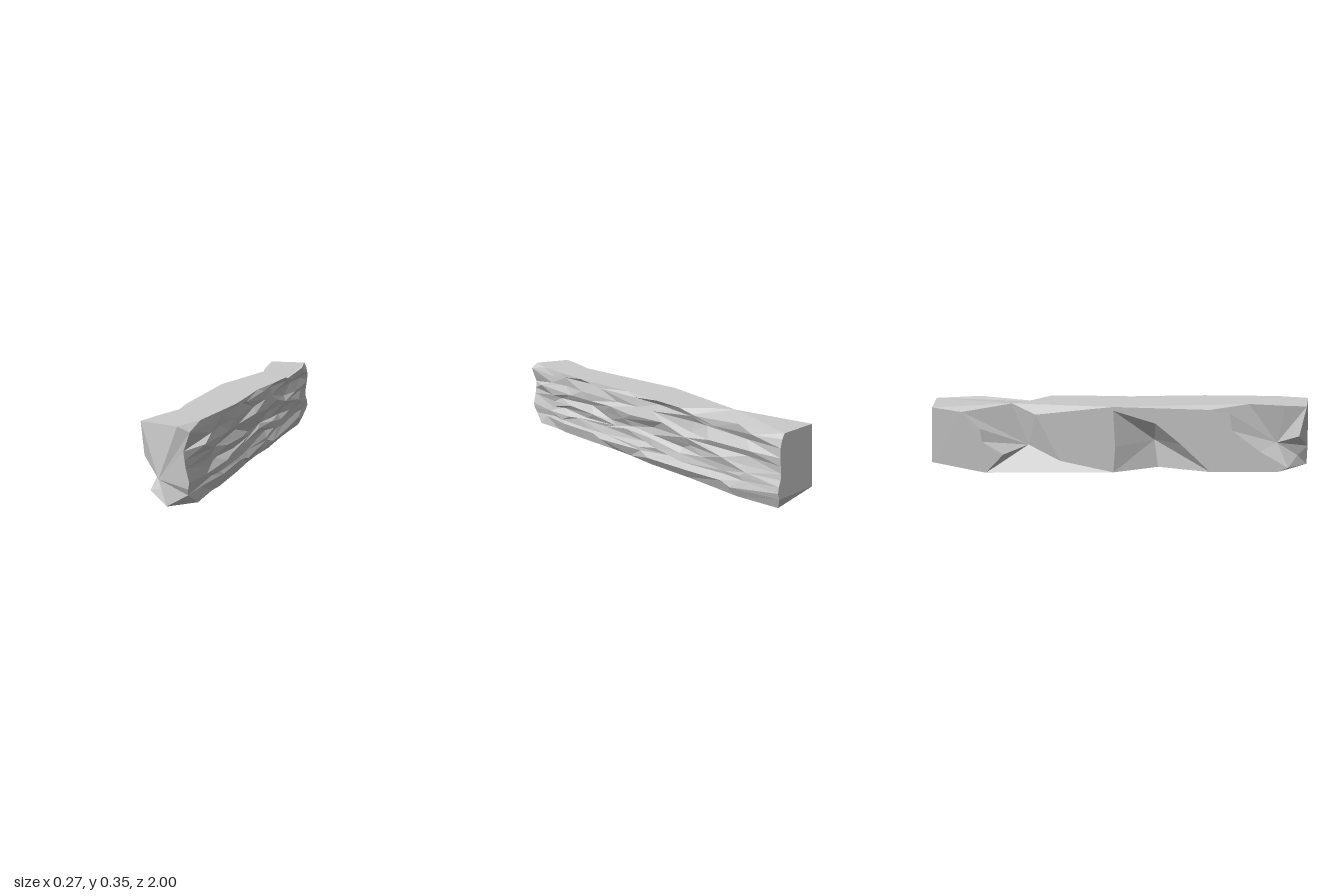
import * as THREE from 'three';

const L = -0.137, TOP = 0.355;
const hash = (a, b) => {
  const s = Math.sin(a * 127.1 + b * 311.7) * 43758.5453;
  return s - Math.floor(s);
};

// Split face: staggered ridges and grooves, station i runs from front to back, row j from bottom to top
const ROWS = [0, 0.05, 0.08, 0.11, 0.14, 0.17, 0.205, 0.245, 0.29, 0.33, TOP];
const N = 10, M = ROWS.length - 1, STEP = 8;
const FRONT_X = [0.105, 0.088, 0.095, 0.1, 0.093, 0.085, 0.08, 0.075, 0.092, 0.105, 0.055];
const BACK_X = [0.072, 0.09, 0.1, 0.097, 0.087, 0.085, 0.09, 0.096, 0.097, 0.088, 0.075];
const TOP_X = [0, 0.1, 0.112, 0.122, 0.113, 0.1, 0.12, 0.128, 0.105, 0.12, 0];
const TOP_Z = [0, 0.85, 0.65, 0.45, 0.25, 0.05, -0.2, -0.38, -0.43, -0.77, 0];
function rough(i, j) {
  if (i === 0) return [FRONT_X[j], ROWS[j], [0.9, 0.97][j] ?? (j === M ? 1 : 0.985)];
  if (i === N) return [BACK_X[j], ROWS[j], j === 0 ? -0.98 : -1];
  if (j === M) return [TOP_X[i], i === STEP ? 0.325 : TOP, TOP_Z[i]];
  const z = 1 - 2 * i / N + (hash(i + 9, j) - 0.5) * 0.17;
  if (j === 0) return [0.092 + 0.02 * hash(i, 3), 0, z];
  const ridge = j % 2 ? 0.01 : 0;
  const drop = i === STEP && j === M - 1 ? 0.015 : 0;
  return [0.086 + ridge + 0.036 * hash(i, j),
    ROWS[j] - drop + (hash(i, j + 20) - 0.5) * 0.022, z];
}
const range = (from, to, f) => Array.from({ length: to - from + 1 }, (_, i) => f(from + i));

// Flat region filled from its outline; u and v are the axes it lies in, dir the outward sign
function flat(points, u, v, dir) {
  const contour = points.map(p => new THREE.Vector2(p[u], p[v]));
  if (THREE.ShapeUtils.isClockWise(contour)) {
    contour.reverse();
    points = [...points].reverse();
  }
  const cross = (a, b, c) =>
    (b[u] - a[u]) * (c[v] - a[v]) - (b[v] - a[v]) * (c[u] - a[u]);
  return THREE.ShapeUtils.triangulateShape(contour, []).flatMap(t => {
    const [a, b, c] = t.map(k => points[k]);
    return cross(a, b, c) * dir > 0 ? [a, b, c] : [a, c, b];
  });
}

// Facets from one hub to a run of points
const fan = (hub, pts) => pts.slice(1).flatMap((p, i) => [hub, p, pts[i]]);

export function createModel() {
  const group = new THREE.Group();
  group.name = 'stoneBeam';
  const material = new THREE.MeshStandardMaterial({
    color: 0xcccccc, flatShading: true, side: THREE.DoubleSide,
  });
  const add = (name, corners) => {
    const g = new THREE.BufferGeometry();
    g.setAttribute('position', new THREE.Float32BufferAttribute(corners.flat(), 3));
    g.computeVertexNormals();
    const mesh = new THREE.Mesh(g, material);
    mesh.name = name;
    group.add(mesh);
  };
  const side = (z, y) => [L, y, z];

  // Chip rims on the smooth side
  const backRim = [[-0.83, 0.33], [-0.74, 0.24], [-0.735, 0.17], [-0.625, 0.1], [-0.72, 0]]
    .map(p => side(...p));
  const innerRim = [[-0.05, 0], [-0.33, 0.065], [-0.45, 0.315]].map(p => side(...p));
  const midRim = [[-0.05, 0], [-0.04, 0.14], [-0.05, 0.335], [0.17, 0.265], [0.3, 0.155], [0.46, 0]]
    .map(p => side(...p));
  const frontRim = [[0.45, 0.338], [0.55, 0.32], [0.57, 0.225], [0.72, 0.11], [0.87, 0.022]]
    .map(p => side(...p));
  const backNotch = [-0.055, TOP, -0.58], midNotch = [-0.045, 0, 0.19];
  const frontNotch = [-0.08, TOP, 0.66], frontSpur = [-0.12, TOP, 0.84];
  const midTop = side(-0.05, TOP), stepStart = [0, TOP, -0.5];

  // Corners of the two ends
  const frontTop = side(0.95, TOP), frontMid = side(0.92, 0.195), frontLow = frontRim[4];
  const frontHub = [-0.04, 0.115, 0.99], frontPit = [-0.035, 0.06, 0.94], frontToe = [0, 0, 1];
  const frontHeel = side(0.82, 0);
  const backTop = side(-0.98, TOP), backLow = side(-1, 0.06), backHeel = backRim[4];

  // Rough split face
  const cells = [];
  for (let i = 0; i < N; i++) for (let j = 0; j < M; j++) {
    const a = rough(i, j), b = rough(i + 1, j), c = rough(i + 1, j + 1), d = rough(i, j + 1);
    cells.push(...(hash(i, j + 50) < 0.6 ? [a, b, c, a, c, d] : [a, b, d, b, c, d]));
  }
  add('splitFace', cells);

  // Top with a small step and worn corner facets
  const topEdge = i => rough(i, M);
  add('topFace', [
    [...range(0, STEP - 1, topEdge), stepStart, backNotch, midTop, frontNotch, frontSpur, frontTop],
    [stepStart, topEdge(STEP - 1), topEdge(STEP)],
    [stepStart, ...range(STEP, N, topEdge), backTop, backNotch],
    [backTop, backRim[0], backNotch],
    [backNotch, innerRim[2], midTop],
    [midTop, frontRim[0], frontNotch],
  ].flatMap(outline => flat(outline, 0, 2, -1)));
  add('bottomFace', flat([frontToe, ...range(0, N, i => rough(i, 0)), backHeel, midRim[0],
    midNotch, midRim[5], frontHeel], 0, 2, 1));

  // Smooth side, in two plates around the chips
  add('smoothSide', [
    [backTop, ...backRim, backLow],
    [...innerRim.slice(1), midTop, ...frontRim, frontHeel, ...[...midRim].reverse()],
  ].flatMap(outline => flat(outline, 2, 1, 1)));

  // Chips: facets running in to a sunken point
  add('backChip', fan([-0.055, 0.13, -0.5],
    [backNotch, ...backRim, ...innerRim, backNotch].reverse()));
  add('middleChip', fan([-0.035, 0.15, 0.17], [...midRim, midNotch, midRim[0]]));
  add('frontChip', fan([-0.065, 0.14, 0.82], [frontRim[0], frontNotch, frontSpur, frontTop,
    frontMid, frontHub, frontPit, ...[...frontRim].reverse()]));

  // Ends
  add('frontEnd', [
    ...fan(frontHub, [frontMid, frontTop, ...range(0, M - 1, j => rough(0, M - j)),
      frontToe, frontPit]),
    rough(0, 1), frontToe, rough(0, 0),
    frontPit, frontLow, frontToe, frontLow, frontHeel, frontToe,
  ]);
  add('backEnd', fan(backLow, [backHeel, ...range(0, M, j => rough(N, j)), backTop]));
  return group;
}
